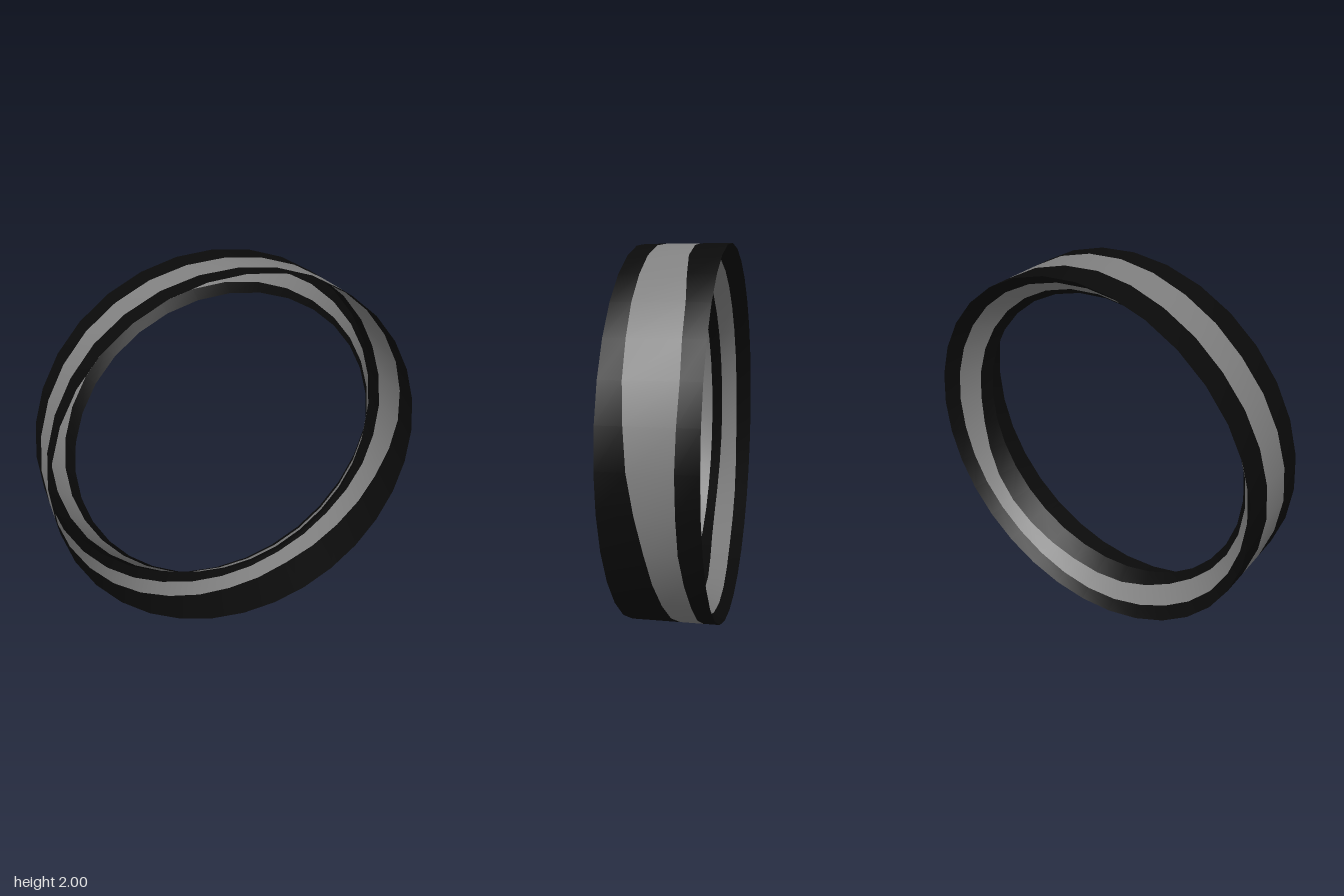
import * as THREE from 'three';

const SIDES = 32, OUTER = 1, INNER = 0.84, HALF = 0.23;

// Smooth cyclic sampling of evenly spaced values around the ring
function sample(values, turn) {
  const n = values.length, x = turn * n, i = Math.floor(x);
  const f = (1 - Math.cos((x - i) * Math.PI)) / 2;
  return THREE.MathUtils.lerp(values[i % n], values[(i + 1) % n], f);
}

// Closed strip around the ring on the face a->b ([radius, z]),
// between the fractions from(turn) and to(turn) of that face
function strip(a, b, from, to) {
  const positions = [], index = [];
  for (let i = 0; i < SIDES; i++) {
    const turn = i / SIDES, angle = turn * Math.PI * 2;
    for (const t of [from(turn), to(turn)]) {
      const r = THREE.MathUtils.lerp(a[0], b[0], t);
      const z = THREE.MathUtils.lerp(a[1], b[1], t);
      positions.push(r * Math.cos(angle), r * Math.sin(angle), z);
    }
    const p = i * 2, q = ((i + 1) % SIDES) * 2;
    index.push(p, q, p + 1, q, q + 1, p + 1);
  }
  const geometry = new THREE.BufferGeometry();
  geometry.setAttribute('position', new THREE.Float32BufferAttribute(positions, 3));
  geometry.setIndex(index);
  geometry.computeVertexNormals();
  return geometry;
}

export function createModel() {
  const black = new THREE.MeshStandardMaterial({ color: 0x0a0a0a, side: THREE.DoubleSide });
  black.name = 'black';
  const grey = new THREE.MeshStandardMaterial({ color: 0x808080, side: THREE.DoubleSide });
  grey.name = 'grey';

  const ring = new THREE.Group();
  ring.name = 'ring';
  ring.position.y = 1;

  const backRim = [OUTER, -HALF], frontRim = [OUTER, HALF], lip = [INNER, 0];

  // An open outer hoop and a conical flange turned inward from its back rim,
  // each with a wavy grey band; edge values start at +x and run
  // counter-clockwise seen from the front
  const faces = [
    {
      name: 'hoop', a: backRim, b: frontRim,
      map: (z) => (z + HALF) / (2 * HALF),
      lo: [-.12, -.13, -.115, -.07, -.065, -.08, -.085, -.075, -.065, -.075, -.09, -.12, -.135, -.145, -.14, -.12],
      hi: [.09, .12, .13, .13, .12, .1, .09, .1, .115, .09, .06, .02, -.01, -.025, 0, .035],
    },
    {
      name: 'flange', a: lip, b: backRim,
      map: (r) => (r - INNER) / (OUTER - INNER),
      lo: [.88, .875, .88, .88, .88, .875, .9, .91],
      hi: [.95, .945, .94, .94, .94, .95, .96, .955],
    },
  ];

  for (const { name, a, b, map, lo, hi } of faces) {
    const low = (t) => map(sample(lo, t)), high = (t) => map(sample(hi, t));
    const add = (part, from, to, material) => {
      const mesh = new THREE.Mesh(strip(a, b, from, to), material);
      mesh.name = name + part;
      ring.add(mesh);
    };
    add('FirstEdge', () => 0, low, black);
    add('Band', low, high, grey);
    add('SecondEdge', high, () => 1, black);
  }

  const model = new THREE.Group();
  model.name = 'bandedRing';
  model.add(ring);
  return model;
}
